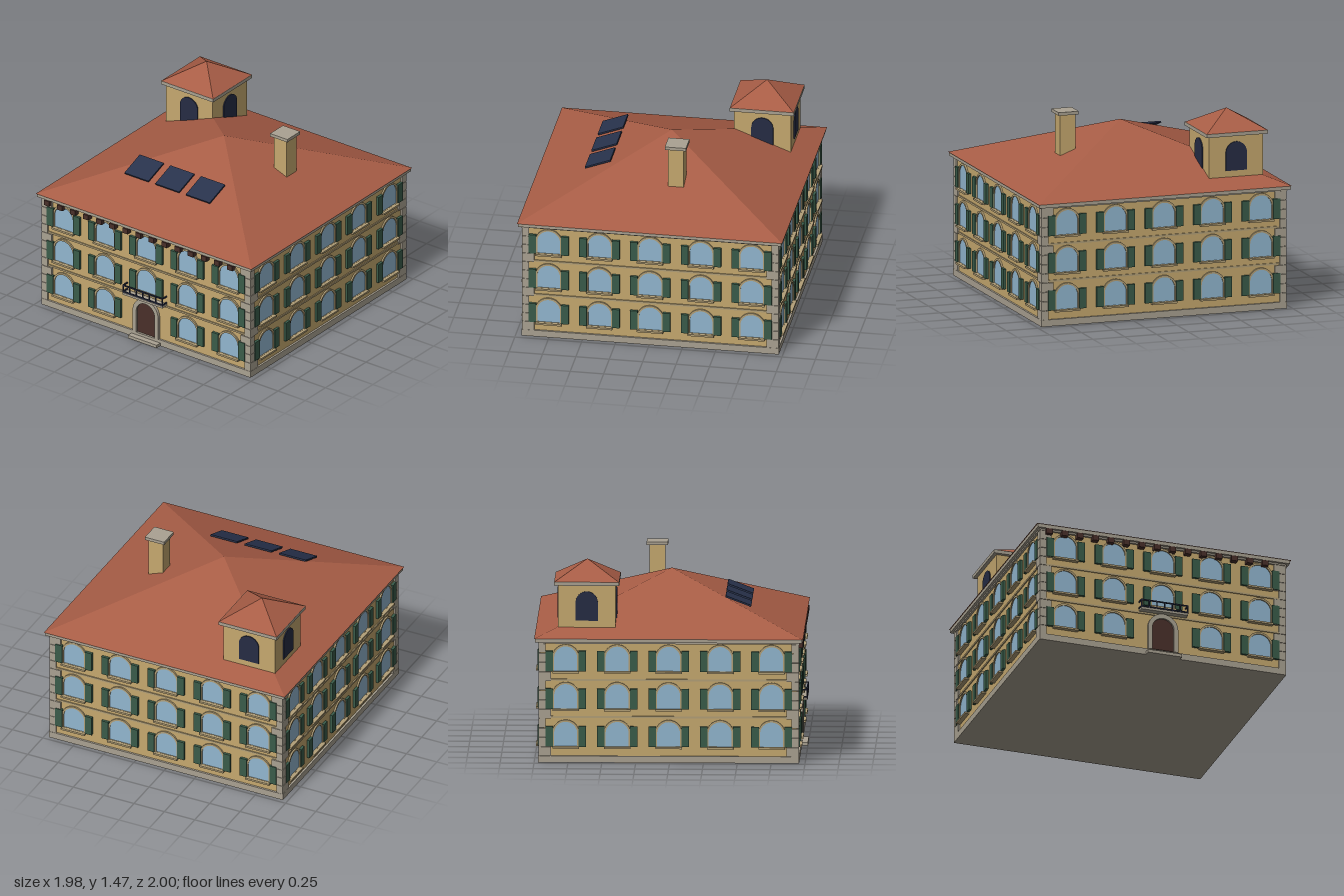
import * as THREE from 'three';

const mat = (name, color, extra = {}) => {
  const m = new THREE.MeshStandardMaterial({ color, ...extra });
  m.name = name;
  return m;
};

export function createModel() {
  const wall = mat('ochre plaster', 0xc6a96f);
  const stone = mat('grey stone', 0xaaa292);
  const trim = mat('pale trim', 0xb3a078);
  const roofTile = mat('terracotta', 0xa85d46);
  const glass = mat('window glass', 0x92b7d0);
  const green = mat('shutter green', 0x3a5c4a);
  const brown = mat('dark wood', 0x4a302a);
  const navy = mat('dark iron', 0x262c44);
  const solar = mat('solar blue', 0x28324c);

  const W = 0.948; // half width of the walls
  const model = new THREE.Group();
  model.name = 'villa';
  const house = new THREE.Group();
  house.name = 'house';
  house.position.z = -0.007;
  model.add(house);

  const add = (parent, name, geo, material, x = 0, y = 0, z = 0) => {
    const m = new THREE.Mesh(geo, material);
    m.name = name;
    m.position.set(x, y, z);
    parent.add(m);
    return m;
  };
  // Box given by its centre in x and z and its bottom and top
  const box = (parent, name, material, w, y0, y1, d, x = 0, z = 0) =>
    add(parent, name, new THREE.BoxGeometry(w, y1 - y0, d), material, x, (y0 + y1) / 2, z);

  // Round-headed outline: half width r, foot at y0, arch springing at ys
  const arch = (Type, r, y0, ys) => {
    const s = new Type();
    s.moveTo(-r, y0);
    s.lineTo(r, y0);
    s.lineTo(r, ys);
    s.absarc(0, ys, r, 0, Math.PI, false);
    s.lineTo(-r, y0);
    return s;
  };
  const plate = (shape, depth) =>
    new THREE.ExtrudeGeometry(shape, { depth, bevelEnabled: false, curveSegments: 14 });

  // Four-sided pyramid roof with flat faces
  const pyramid = (half, height) => {
    const g = new THREE.ConeGeometry(half * Math.SQRT2, height, 4, 1);
    g.rotateY(Math.PI / 4);
    const flat = g.toNonIndexed();
    flat.computeVertexNormals();
    return flat;
  };

  // Main body
  box(house, 'walls', wall, 2 * W, 0.04, 0.9, 2 * W);
  box(house, 'plinth', stone, 1.926, 0, 0.05, 1.926);
  box(house, 'lowerCornice', stone, 1.93, 0.888, 0.902, 1.93);
  box(house, 'cornice', stone, 1.97, 0.9, 0.927, 1.97);
  add(house, 'roof', pyramid(0.992, 0.378), roofTile, 0, 0.927 + 0.189, 0);
  for (const y of [0.34, 0.617]) box(house, 'stringCourse', trim, 1.912, y - 0.007, y + 0.007, 1.912);

  // Corner stones, long and short sides alternating
  for (const sx of [-1, 1]) for (const sz of [-1, 1]) {
    for (let j = 0; j < 12; j++) {
      const w = j % 2 ? 0.092 : 0.053, d = j % 2 ? 0.053 : 0.092;
      box(house, 'cornerStone', stone, w, 0.05 + j * 0.07, 0.117 + j * 0.07, d,
        sx * (0.961 - w / 2), sz * (0.961 - d / 2));
    }
  }

  // Windows: five bays and three floors on every side
  const surround = arch(THREE.Shape, 0.1, 0, 0.102);
  surround.holes.push(arch(THREE.Path, 0.085, 0.004, 0.102));
  const frameGeo = plate(surround, 0.012);
  const glassGeo = plate(arch(THREE.Shape, 0.086, 0.003, 0.102), 0.004);
  const sillGeo = new THREE.BoxGeometry(0.195, 0.014, 0.034);
  const shutterGeo = new THREE.BoxGeometry(0.056, 0.152, 0.02);
  for (let side = 0; side < 4; side++) {
    const facade = new THREE.Group();
    facade.name = ['front', 'left', 'back', 'right'][side] + 'Facade';
    facade.rotation.y = side * Math.PI / 2;
    house.add(facade);
    for (let floor = 0; floor < 3; floor++) for (let bay = -2; bay <= 2; bay++) {
      if (side === 0 && floor === 0 && bay === 0) continue; // entrance bay
      const win = new THREE.Group();
      win.name = 'window';
      win.position.set(bay * 0.38, 0.117 + floor * 0.2815, W);
      facade.add(win);
      add(win, 'windowFrame', frameGeo, trim);
      add(win, 'pane', glassGeo, glass);
      add(win, 'sill', sillGeo, trim, 0, -0.004, 0.017);
      for (const s of [-1, 1]) add(win, 'shutter', shutterGeo, green, s * 0.122, 0.078, 0.01);
    }
  }

  // Entrance
  const doorway = arch(THREE.Shape, 0.117, 0.05, 0.228);
  doorway.holes.push(arch(THREE.Path, 0.085, 0.05, 0.225));
  add(house, 'doorSurround', plate(doorway, 0.022), stone, 0, 0, W);
  add(house, 'door', plate(arch(THREE.Shape, 0.086, 0.05, 0.225), 0.006), brown, 0, 0, W);
  box(model, 'doorStep', stone, 0.265, 0, 0.024, 0.06, 0, 0.97);

  // Balcony with railing
  box(model, 'balconySlab', stone, 0.365, 0.347, 0.364, 0.06, 0, 0.968);
  for (const y of [0.368, 0.42]) {
    box(model, 'balconyRail', navy, 0.37, y, y + 0.009, 0.009, 0, 0.994);
    for (const s of [-1, 1]) box(model, 'sideRail', navy, 0.009, y, y + 0.009, 0.055, s * 0.181, 0.968);
  }
  for (let i = 0; i < 7; i++) box(model, 'baluster', navy, 0.008, 0.362, 0.424, 0.008, (i - 3) * 0.0603, 0.994);

  // Rafter ends under the front eave
  for (let i = 0; i < 15; i++) box(model, 'rafterEnd', brown, 0.048, 0.856, 0.896, 0.05, -0.895 + i * 0.1205, 0.96);

  // Roof tower
  const tower = new THREE.Group();
  tower.name = 'tower';
  tower.position.set(-0.615, 0, -0.615);
  model.add(tower);
  box(tower, 'towerWalls', wall, 0.425, 0.93, 1.306, 0.425);
  box(tower, 'towerCornice', stone, 0.48, 1.304, 1.331, 0.48);
  add(tower, 'towerRoof', pyramid(0.238, 0.139), roofTile, 0, 1.331 + 0.0695, 0);
  const openingGeo = plate(arch(THREE.Shape, 0.082, 1.04, 1.176), 0.009);
  for (let k = 0; k < 4; k++) {
    const face = new THREE.Group();
    face.name = 'towerFace';
    face.rotation.y = k * Math.PI / 2;
    tower.add(face);
    add(face, 'towerOpening', openingGeo, navy, 0, 0, 0.2115);
  }

  // Chimney
  box(model, 'chimney', wall, 0.118, 1.1, 1.41, 0.118, 0.474, -0.126);
  box(model, 'chimneyCap', stone, 0.158, 1.408, 1.432, 0.158, 0.474, -0.126);

  // Solar panels on the front slope
  for (const x of [-0.36, -0.077, 0.205]) {
    const panel = add(model, 'solarPanel', new THREE.BoxGeometry(0.22, 0.012, 0.202), solar, x, 1.131, 0.495);
    panel.rotation.x = 0.362;
  }
  return model;
}
